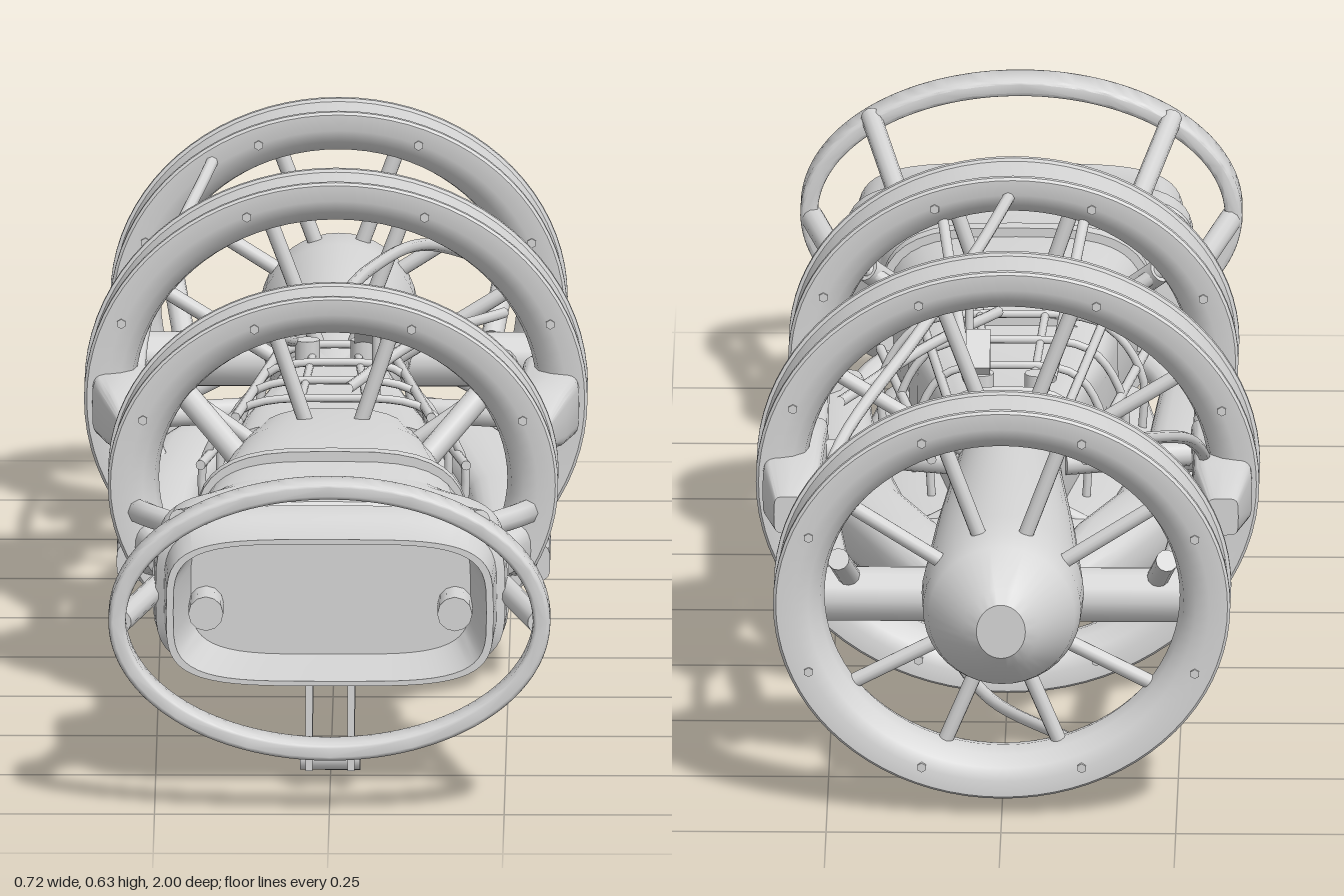
import * as THREE from 'three';
import { toCreasedNormals } from 'three/addons/utils/BufferGeometryUtils.js';

const V = (p) => new THREE.Vector3(...p);

export function createModel() {
  const root = new THREE.Group();
  root.name = 'ringedCraft';
  const grey = new THREE.MeshStandardMaterial({ color: 0xd6d6d6 });
  grey.name = 'hullGrey';

  const add = (name, geo, pos = [0, 0, 0]) => {
    const m = new THREE.Mesh(geo, grey);
    m.name = name;
    m.position.set(...pos);
    root.add(m);
    return m;
  };

  // Superellipse loft along z; section = [z, halfWidth, bottom, top, exponent, centreX]
  const loft = (name, sections, n = 40) => {
    const rings = sections.map(([z, hx, y0, y1, e = 2, cx = 0]) =>
      Array.from({ length: n }, (_, j) => {
        const a = (j / n) * Math.PI * 2, c = Math.cos(a), s = Math.sin(a);
        return [cx + hx * Math.sign(c) * Math.abs(c) ** (2 / e),
          (y0 + y1) / 2 + ((y1 - y0) / 2) * Math.sign(s) * Math.abs(s) ** (2 / e), z];
      }));
    const pos = [];
    for (let i = 0; i < rings.length - 1; i++) {
      for (let j = 0; j < n; j++) {
        const k = (j + 1) % n;
        const a = rings[i][j], b = rings[i][k], c = rings[i + 1][k], d = rings[i + 1][j];
        if (sections[i][1] > 0) pos.push(...a, ...b, ...c);
        if (sections[i + 1][1] > 0) pos.push(...a, ...c, ...d);
      }
    }
    const g = new THREE.BufferGeometry();
    g.setAttribute('position', new THREE.Float32BufferAttribute(pos, 3));
    return add(name, toCreasedNormals(g, 0.6));
  };

  // Straight round bar between two points
  const bar = (name, a, b, r, sides = 12) => {
    const p = V(a), q = V(b), d = q.clone().sub(p);
    const m = add(name, new THREE.CylinderGeometry(r, r, d.length(), sides));
    m.position.copy(p).add(q).multiplyScalar(0.5);
    m.quaternion.setFromUnitVectors(new THREE.Vector3(0, 1, 0), d.normalize());
    return m;
  };
  // Curved pipe through points
  const pipe = (name, pts, r, seg = 32) =>
    add(name, new THREE.TubeGeometry(new THREE.CatmullRomCurve3(pts.map(V)), seg, r, 8));
  const flip = (p, s) => [p[0] * s, p[1], p[2]];

  // Elliptical ring; profile = closed loop of [inset, z]
  const ring = (name, rx, ry, cy, z, profile) => {
    const pts = [...profile, profile[0]].map(([d, w]) => new THREE.Vector2(rx - d, w));
    const g = new THREE.LatheGeometry(pts, 80);
    g.rotateX(Math.PI / 2);
    const m = add(name, toCreasedNormals(g.toNonIndexed(), 0.6), [0, cy, z]);
    m.scale.y = ry / rx;
  };
  const wheel = [[0.03, -0.052], [0.004, -0.052], [0, -0.048], [0, -0.04], [0.005, -0.038], [0.005, 0.038],
    [0, 0.04], [0, 0.048], [0.004, 0.052], [0.03, 0.052], [0.05, 0.045], [0.067, 0.026], [0.073, 0],
    [0.067, -0.026], [0.05, -0.045]];

  // Three large rings with bolts and spokes
  const rings = [
    ['frontRing', 0.322, 0.275, 0.32, 0.23, 0.15, 0.11],
    ['middleRing', 0.36, 0.317, 0.319, -0.32, 0.08, 0.08],
    ['rearRing', 0.327, 0.292, 0.32, -0.875, 0.1, 0.1],
  ];
  for (const [name, rx, ry, cy, z, bx, by] of rings) {
    ring(name, rx, ry, cy, z, wheel);
    for (let i = 0; i < 8; i++) {
      const a = Math.PI / 8 + (i * Math.PI) / 4, c = Math.cos(a), s = Math.sin(a);
      for (const e of [-1, 1]) {
        const x = (rx - 0.028) * c, y = cy + (ry - 0.028) * s;
        bar(name + 'Bolt', [x, y, z + e * 0.047], [x, y, z + e * 0.055], 0.007, 6);
      }
    }
    for (const deg of [35, 72]) {
      const a = (deg * Math.PI) / 180;
      for (const [sx, sy] of [[1, 1], [-1, 1], [1, -1], [-1, -1]]) {
        const c = Math.cos(a) * sx, s = Math.sin(a) * sy;
        bar(name + 'Spoke', [bx * 0.8 * c, 0.31 + by * 0.8 * s, z],
          [(rx - 0.05) * c, cy + (ry - 0.05) * s, z], 0.011);
      }
    }
  }
  // Slim bumper ring of even thickness
  const oval = new THREE.Shape().absellipse(0, 0, 0.31, 0.198, 0, Math.PI * 2);
  oval.holes.push(new THREE.Path().absellipse(0, 0, 0.297, 0.185, 0, Math.PI * 2));
  const bumper = new THREE.ExtrudeGeometry(oval, { depth: 0.042, curveSegments: 64,
    bevelThickness: 0.008, bevelSize: 0.006, bevelSegments: 3 });
  add('bumperRing', toCreasedNormals(bumper, 0.7), [0, 0.283, 0.949]);

  // Front intake with open mouth and recessed plate
  loft('intake', [
    [0.58, 0.19, 0.16, 0.4, 4], [0.605, 0.205, 0.155, 0.4, 4], [0.64, 0.25, 0.152, 0.398, 4],
    [0.705, 0.255, 0.155, 0.393, 4], [0.71, 0.245, 0.16, 0.388, 4], [0.72, 0.245, 0.16, 0.388, 4],
    [0.725, 0.253, 0.156, 0.392, 4], [0.78, 0.25, 0.158, 0.39, 4], [0.79, 0.238, 0.163, 0.385, 4],
    [0.89, 0.234, 0.165, 0.38, 4], [0.89, 0.224, 0.172, 0.373, 4], [0.73, 0.2, 0.175, 0.37, 4],
    [0.73, 0, 0.27, 0.27, 4]], 56);
  // Neck and clamp band
  loft('neck', [
    [0.14, 0, 0.29, 0.29], [0.14, 0.13, 0.18, 0.4, 3], [0.27, 0.155, 0.17, 0.41, 3],
    [0.42, 0.178, 0.16, 0.41, 3.2], [0.6, 0.2, 0.157, 0.4, 3.6], [0.6, 0, 0.28, 0.28]]);
  loft('neckBand', [[0.478, 0, 0.28, 0.28], [0.478, 0.197, 0.14, 0.42, 3.2],
    [0.502, 0.197, 0.14, 0.42, 3.2], [0.502, 0, 0.28, 0.28]]);
  // Boxy core inside the cage
  loft('core', [[-0.3, 0, 0.3, 0.3], [-0.3, 0.075, 0.22, 0.385, 4], [-0.1, 0.105, 0.21, 0.38, 6],
    [0.05, 0.135, 0.2, 0.38, 6], [0.2, 0.15, 0.19, 0.39, 5], [0.2, 0, 0.29, 0.29]]);

  // Tail body with blunt nose
  loft('tailBody', [
    [-1, 0, 0.305, 0.305], [-1, 0.035, 0.265, 0.345], [-0.985, 0.055, 0.245, 0.365],
    [-0.93, 0.105, 0.203, 0.409], [-0.9, 0.113, 0.193, 0.418], [-0.82, 0.116, 0.188, 0.42],
    [-0.6, 0.102, 0.195, 0.411], [-0.36, 0.08, 0.225, 0.395], [-0.2, 0.07, 0.23, 0.38], [-0.2, 0, 0.3, 0.3]]);

  // Lower hull
  loft('lowerHull', [
    [-0.6, 0, 0.23, 0.23], [-0.58, 0.06, 0.19, 0.25, 3], [-0.42, 0.15, 0.175, 0.255, 3],
    [-0.2, 0.2, 0.165, 0.255, 3], [0.1, 0.22, 0.16, 0.255, 3], [0.32, 0.19, 0.165, 0.25, 3],
    [0.32, 0, 0.21, 0.21]]);

  // Cage hoops over the core
  for (let i = 0; i < 4; i++) {
    const z = 0.12 - i * 0.115, w = 0.185 - i * 0.025;
    pipe('cageHoop', [[-w, 0.23, z], [-w, 0.32, z], [-w * 0.7, 0.395, z], [0, 0.41, z],
      [w * 0.7, 0.395, z], [w, 0.32, z], [w, 0.23, z]], 0.006);
  }
  // Curved line under the belly
  pipe('bellyHoop', [[-0.2, 0.2, -0.02], [-0.12, 0.14, -0.02], [0, 0.12, -0.02], [0.12, 0.14, -0.02], [0.2, 0.2, -0.02]], 0.005);

  for (const s of [1, -1]) {
    const sideBar = (name, a, b, r) => bar(name, flip(a, s), flip(b, s), r);
    const sidePipe = (name, pts, r) => pipe(name, pts.map((p) => flip(p, s)), r);

    // Cage runners
    sideBar('cageRunner', [0.05, 0.41, 0.2], [0.03, 0.4, -0.25], 0.006);
    sideBar('cageRunner', [0.14, 0.4, 0.2], [0.08, 0.39, -0.27], 0.007);
    sideBar('cageRunner', [0.19, 0.33, 0.2], [0.11, 0.32, -0.27], 0.007);
    sideBar('cageBrace', [0.1, 0.52, 0.2], [0.06, 0.42, -0.2], 0.008);
    sideBar('valve', [0.04, 0.39, -0.19], [0.04, 0.425, -0.19], 0.018);

    // Bumper struts
    sideBar('bumperStrut', [0.215, 0.425, 0.96], [0.17, 0.38, 0.72], 0.015);
    sideBar('bumperStrut', [0.3, 0.275, 0.96], [0.245, 0.27, 0.7], 0.017);
    // Plugs inside the intake
    sideBar('intakePlug', [0.178, 0.25, 0.72], [0.178, 0.25, 0.8], 0.025);

    // Keel fin plates
    const fin = new THREE.Shape([[-0.84, 0.165], [-0.6, 0.165], [-0.79, 0.03], [-0.845, 0.03]]
      .map(([x, y]) => new THREE.Vector2(x, y)));
    const g = new THREE.ExtrudeGeometry(fin, { depth: 0.01, bevelEnabled: false });
    g.rotateY(Math.PI / 2);
    add('keelFin', g, [s * 0.03 - 0.005, 0, 0]);

    // Forked pipes from neck to front ring
    sidePipe('forkPipe', [[0.17, 0.275, 0.47], [0.215, 0.285, 0.4], [0.26, 0.285, 0.33], [0.285, 0.275, 0.24]], 0.018);
    sidePipe('forkPipe', [[0.17, 0.24, 0.44], [0.21, 0.23, 0.37], [0.25, 0.2, 0.24]], 0.018);
    sideBar('neckPipe', [0.195, 0.25, 0.6], [0.18, 0.275, 0.4], 0.015);

    // Lower pods sweeping in towards the tail
    loft('lowerPod', [
      [-0.6, 0, 0.23, 0.23, 2, s * 0.075], [-0.58, 0.03, 0.19, 0.255, 3, s * 0.08],
      [-0.5, 0.05, 0.185, 0.27, 3, s * 0.115], [-0.4, 0.06, 0.18, 0.278, 3, s * 0.15],
      [-0.25, 0.06, 0.172, 0.275, 3, s * 0.205],
      [0, 0.05, 0.172, 0.27, 3, s * 0.24], [0.25, 0.045, 0.178, 0.265, 3, s * 0.25],
      [0.33, 0.025, 0.2, 0.255, 3, s * 0.24], [0.34, 0, 0.22, 0.22, 2, s * 0.24]], 24);
    loft('lowerFairing', [
      [-0.1, 0, 0.19, 0.19, 3, s * 0.26], [-0.09, 0.03, 0.165, 0.21, 4, s * 0.26],
      [0.05, 0.035, 0.16, 0.215, 4, s * 0.275], [0.2, 0.035, 0.16, 0.215, 4, s * 0.275],
      [0.2, 0, 0.19, 0.19, 3, s * 0.275]], 24);

    // Outer pods through the middle ring
    loft('outerPod', [
      [-0.5, 0, 0.31, 0.31, 4, s * 0.31], [-0.5, 0.022, 0.285, 0.34, 5, s * 0.31],
      [-0.39, 0.042, 0.268, 0.356, 5, s * 0.308], [-0.25, 0.043, 0.268, 0.356, 5, s * 0.305],
      [-0.17, 0.036, 0.272, 0.35, 5, s * 0.295], [-0.1, 0.02, 0.285, 0.325, 5, s * 0.287],
      [-0.1, 0, 0.305, 0.305, 4, s * 0.287]], 24);
    sideBar('sideRail', [0.305, 0.29, 0.2], [0.295, 0.3, -0.15], 0.009);
    sideBar('sideRail', [0.275, 0.3, 0.2], [0.275, 0.3, -0.15], 0.014);
    sideBar('podArm', [0.28, 0.31, -0.2], [0.08, 0.31, -0.25], 0.018);

    // Tail cross tubes and rear rails
    sideBar('crossTube', [0.08, 0.272, -0.73], [0.295, 0.272, -0.73], 0.04);
    sideBar('rearRail', [0.235, 0.275, -0.7], [0.265, 0.29, -0.38], 0.02);
    sideBar('rearStrut', [0.22, 0.3, -0.74], [0.235, 0.36, -0.84], 0.016);
    sideBar('neckBrace', [0.13, 0.36, 0.3], [0.21, 0.44, 0.23], 0.018);
  }
  bar('keelRoller', [-0.043, 0.043, 0.815], [0.043, 0.043, 0.815], 0.018);

  // Long curved lines linking the rings
  pipe('upperLine', [[0, 0.565, 0.22], [0.05, 0.56, -0.05], [0.13, 0.53, -0.34], [0.24, 0.44, -0.58], [0.28, 0.35, -0.83]], 0.009);
  pipe('crossLine', [[0.02, 0.42, 0.1], [0.12, 0.44, -0.12], [0.24, 0.43, -0.34]], 0.008);
  pipe('sideLine', [[-0.2, 0.2, 0.05], [-0.28, 0.33, -0.3], [-0.26, 0.43, -0.5], [-0.18, 0.54, -0.83]], 0.009);
  pipe('lowerLine', [[0.1, 0.15, 0.1], [0.1, 0.1, -0.3], [0.03, 0.065, -0.56], [-0.1, 0.085, -0.83]], 0.009);
  pipe('lowerLine', [[-0.1, 0.08, 0.2], [-0.14, 0.13, 0], [-0.14, 0.08, -0.3]], 0.008);

  // Small sensor box, mast and belly probe
  add('sensorBox', new THREE.BoxGeometry(0.035, 0.03, 0.07), [0.045, 0.445, -0.17]).rotation.x = -0.6;
  bar('mast', [0.06, 0.38, -0.02], [0.06, 0.475, -0.01], 0.006);
  bar('bellyProbe', [0, 0.17, -0.01], [0, 0.07, -0.02], 0.007);
  return root;
}
